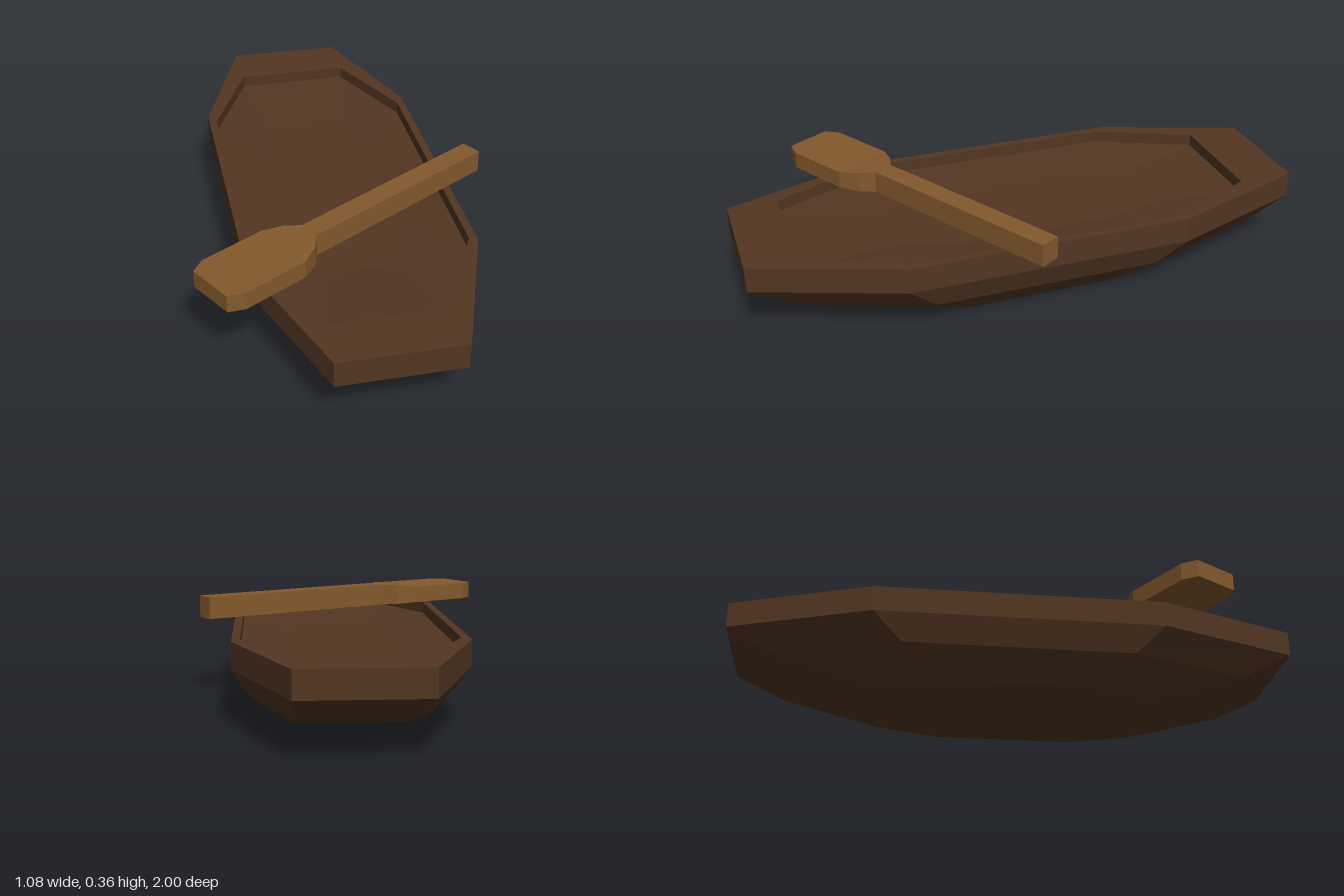
import * as THREE from 'three';

// Skins a row of closed rings with flat facets and caps both ends.
function loft(rings) {
  const pos = [];
  const n = rings[0].length;
  const tri = (a, b, c) => pos.push(...a, ...b, ...c);
  for (let r = 0; r < rings.length - 1; r++) {
    for (let i = 0; i < n; i++) {
      const j = (i + 1) % n;
      const [a, b, c, d] = [rings[r][i], rings[r][j], rings[r + 1][j], rings[r + 1][i]];
      tri(a, b, c);
      tri(a, c, d);
    }
  }
  const first = rings[0], last = rings[rings.length - 1];
  for (let i = 1; i < n - 1; i++) {
    tri(first[0], first[i + 1], first[i]);
    tri(last[0], last[i], last[i + 1]);
  }
  const g = new THREE.BufferGeometry();
  g.setAttribute('position', new THREE.Float32BufferAttribute(pos, 3));
  g.computeVertexNormals();
  return g;
}

// Eight-cornered deck outline: half width of the ends, of the middle, and their z.
function deckRing([y, endW, endZ, midW, midZ, shift = 0]) {
  const quarter = [[endW, endZ], [midW, midZ], [midW, -midZ], [endW, -endZ]];
  const half = quarter.map(([x, z]) => [x + 0.02, y, z + shift]);
  const other = quarter.map(([x, z]) => [0.02 - x, y, -z + shift]);
  return [...half, ...other];
}

// Rectangular paddle section: distance along the shaft, half width, half thickness.
function paddleRing([u, w, h]) {
  const c = Math.cos(Math.PI / 6), s = 0.5;
  return [[-w, -h], [w, -h], [w, h], [-w, h]].map(([v, y]) =>
    [0.52 - u * c + v * s, 0.32 + y, 0.057 + u * s + v * c]);
}

export function createModel() {
  const darkWood = new THREE.MeshStandardMaterial({ color: 0x523622 });
  darkWood.name = 'darkWood';
  const lightWood = new THREE.MeshStandardMaterial({ color: 0x84592d });
  lightWood.name = 'lightWood';

  const group = new THREE.Group();
  group.name = 'rowingBoat';

  // Hull: keel upward, over the gunwale, then down into the shallow well
  const hull = new THREE.Mesh(loft([
    [0, 0.19, 0.47, 0.262, 0.25],
    [0.095, 0.2, 0.82, 0.35, 0.4],
    [0.187, 0.208, 1, 0.39, 0.5],
    [0.278, 0.208, 1, 0.39, 0.5],
    [0.278, 0.205, 0.814, 0.362, 0.47, 0.012],
    [0.235, 0.205, 0.814, 0.362, 0.47, 0.012],
    [0.215, 0.13, 0.5, 0.19, 0.28],
  ].map(deckRing)), darkWood);
  hull.name = 'hull';

  // Paddle: square shaft flaring into a thinner blade
  const shaft = new THREE.Mesh(loft([
    [0, 0.0375, 0.04],
    [0.775, 0.0375, 0.04],
  ].map(paddleRing)), lightWood);
  shaft.name = 'paddleShaft';

  const blade = new THREE.Mesh(loft([
    [0.775, 0.0375, 0.04],
    [0.818, 0.078, 0.037],
    [0.886, 0.111, 0.031],
    [1.126, 0.111, 0.031],
    [1.18, 0.084, 0.031],
  ].map(paddleRing)), lightWood);
  blade.name = 'paddleBlade';

  const paddle = new THREE.Group();
  paddle.name = 'paddle';
  paddle.add(shaft, blade);

  group.add(hull, paddle);
  return group;
}
